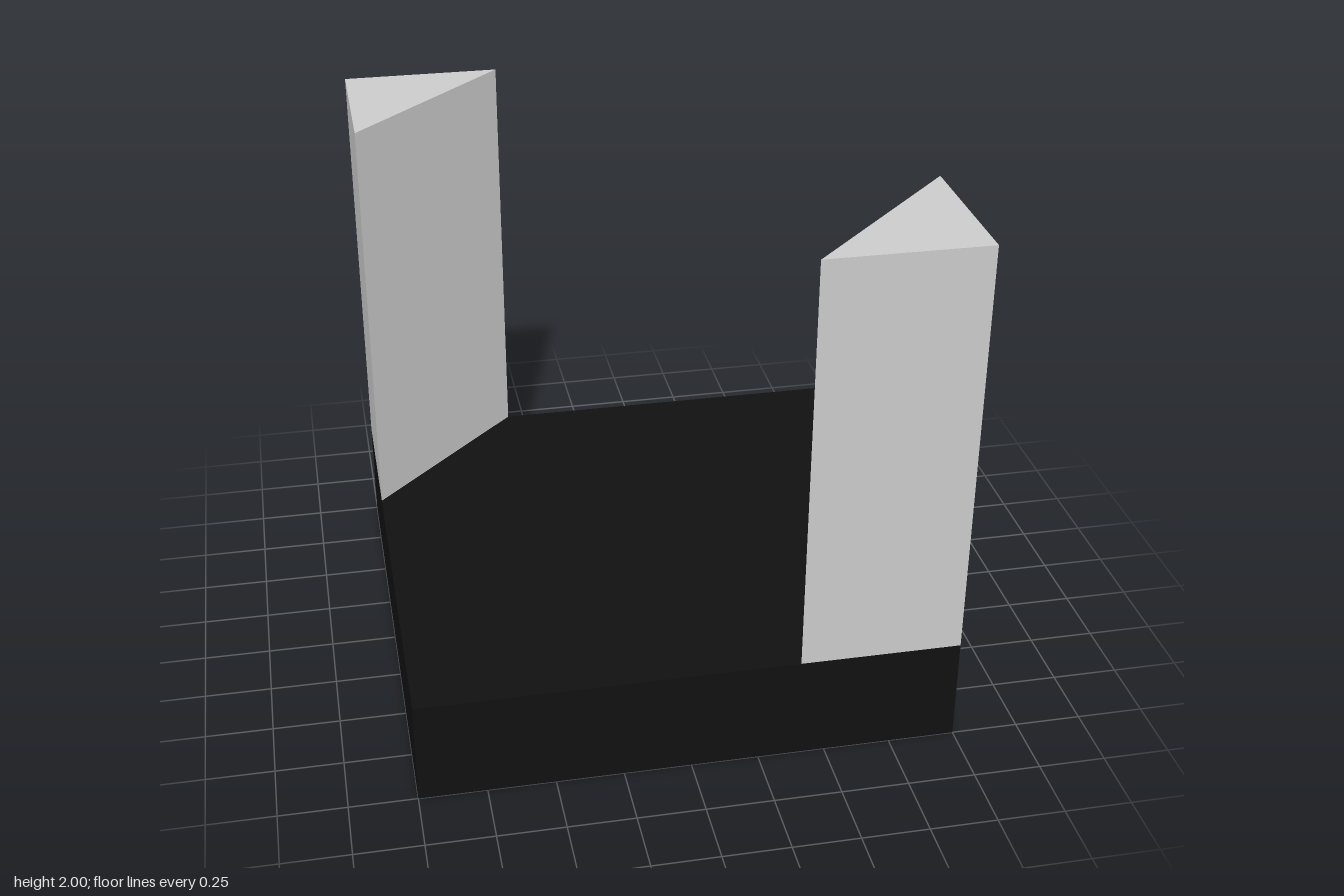
import * as THREE from 'three';

export function createModel() {
  const model = new THREE.Group();
  const baseHeight = 0.4, towerHeight = 1.6;

  // Square dark slab
  const base = new THREE.Mesh(
    new THREE.BoxGeometry(2, baseHeight, 2),
    new THREE.MeshStandardMaterial({ color: 0x111111, flatShading: true })
  );
  base.name = 'base';
  base.position.y = baseHeight / 2;
  model.add(base);

  // Right-triangle prism filling the front left corner (shape y becomes -z)
  const corner = new THREE.Shape([
    new THREE.Vector2(1, -1),
    new THREE.Vector2(1, -0.4),
    new THREE.Vector2(0.4, -1),
  ]);
  const towerGeometry = new THREE.ExtrudeGeometry(corner, { depth: towerHeight, bevelEnabled: false });
  towerGeometry.rotateX(-Math.PI / 2);
  const grey = new THREE.MeshStandardMaterial({ color: 0xcccccc, flatShading: true });

  // Two towers at opposite corners, half a turn apart
  ['frontLeftTower', 'backRightTower'].forEach((name, i) => {
    const tower = new THREE.Mesh(towerGeometry, grey);
    tower.name = name;
    tower.position.y = baseHeight;
    tower.rotation.y = i * Math.PI;
    model.add(tower);
  });

  return model;
}
